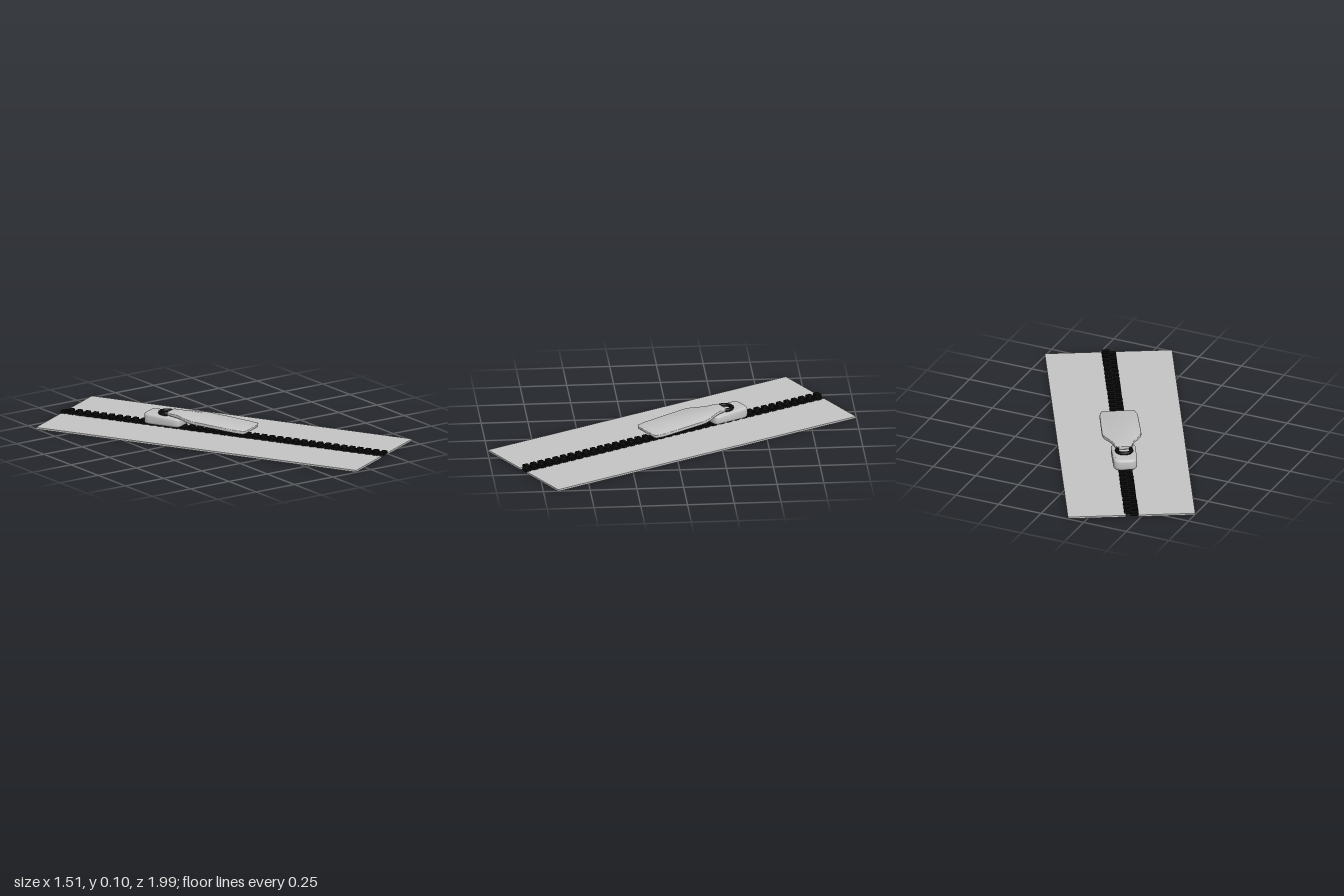
import * as THREE from 'three';
import { toCreasedNormals } from 'three/addons/utils/BufferGeometryUtils.js';

const grey = new THREE.MeshStandardMaterial({ color: 0xc4c4c4 });
grey.name = 'light grey';
const black = new THREE.MeshStandardMaterial({ color: 0x0a0a0a });
black.name = 'black';

function addMesh(parent, name, geometry, material, x = 0, y = 0, z = 0) {
  const mesh = new THREE.Mesh(geometry, material);
  mesh.name = name;
  mesh.position.set(x, y, z);
  parent.add(mesh);
  return mesh;
}

// closed outline whose corners [x, z, radius] are rounded
function roundedOutline(corners) {
  const shape = new THREE.Shape();
  const n = corners.length;
  corners.forEach(([x, z, r], i) => {
    const p = new THREE.Vector2(x, z);
    const toward = ([a, b]) => new THREE.Vector2(a, b).sub(p).setLength(r).add(p);
    const start = toward(corners[(i + n - 1) % n]);
    const end = toward(corners[(i + 1) % n]);
    if (i === 0) shape.moveTo(start.x, start.y);
    else shape.lineTo(start.x, start.y);
    shape.quadraticCurveTo(x, z, end.x, end.y);
  });
  shape.closePath();
  return shape;
}

// lying slab with softened rims, centred on y = 0
function slab(shape, height, bevel) {
  const geometry = new THREE.ExtrudeGeometry(shape, {
    depth: height - 2 * bevel, bevelThickness: bevel, bevelSize: bevel,
    bevelOffset: -bevel, bevelSegments: 4, curveSegments: 8,
  });
  geometry.translate(0, 0, bevel - height / 2);
  geometry.rotateX(Math.PI / 2);
  return geometry;
}

export function createModel() {
  const model = new THREE.Group();
  model.name = 'zipper';
  const zipper = new THREE.Group();
  zipper.name = 'zipperAssembly';
  zipper.rotation.y = 0.499; // lies diagonally
  model.add(zipper);

  // fabric tapes on both sides of the gap
  const tape = new THREE.BoxGeometry(0.31, 0.01, 1.9);
  for (const side of [-1, 1]) {
    addMesh(zipper, side > 0 ? 'leftTape' : 'rightTape', tape, grey, side * 0.185, 0.005, 0);
  }

  // two staggered rows of interlocking teeth
  const count = 40;
  const pitch = 1.9 / count;
  const tooth = new THREE.BoxGeometry(0.042, 0.018, 0.027);
  for (const side of [-1, 1]) {
    const row = new THREE.Group();
    row.name = side > 0 ? 'leftTeeth' : 'rightTeeth';
    zipper.add(row);
    for (let i = 0; i < count; i++) {
      const z = -0.95 + (i + 0.5 + side * 0.25) * pitch;
      addMesh(row, 'tooth', tooth, black, side * 0.016, 0.015, z);
    }
  }

  // slider body, a little lower towards the pull
  const body = slab(roundedOutline([
    [-0.063, -0.455, 0.04], [0.063, -0.455, 0.04],
    [0.067, -0.235, 0.03], [-0.067, -0.235, 0.03],
  ]), 0.06, 0.014);
  const pos = body.attributes.position;
  for (let i = 0; i < pos.count; i++) {
    if (pos.getY(i) > 0) {
      const t = Math.max(0, (pos.getZ(i) + 0.37) / 0.135);
      pos.setY(i, pos.getY(i) * (1 - 0.4 * t));
    }
  }
  addMesh(zipper, 'sliderBody', toCreasedNormals(body, 0.7), grey, 0, 0.051, 0);

  // black loop joining slider and pull
  const ring = new THREE.TorusGeometry(0.039, 0.01, 10, 32, Math.PI * 1.3);
  ring.rotateZ(-Math.PI * 0.15);
  ring.rotateX(-Math.PI / 2);
  addMesh(zipper, 'pullLoop', ring, black, 0, 0.083, -0.336);

  // flat pull tab, tilted down to its wide end
  const tab = slab(roundedOutline([
    [-0.042, -0.322, 0.012], [0.042, -0.322, 0.012], [0.056, -0.25, 0.03],
    [0.106, -0.16, 0.04], [0.102, 0.13, 0.03], [0.085, 0.166, 0.015],
    [-0.085, 0.166, 0.015], [-0.102, 0.13, 0.03], [-0.106, -0.16, 0.04],
    [-0.056, -0.25, 0.03],
  ]), 0.018, 0.005);
  const pull = addMesh(zipper, 'pullTab', toCreasedNormals(tab, 0.7), grey, 0, 0.065, 0);
  pull.rotation.x = 0.072;

  return model;
}
